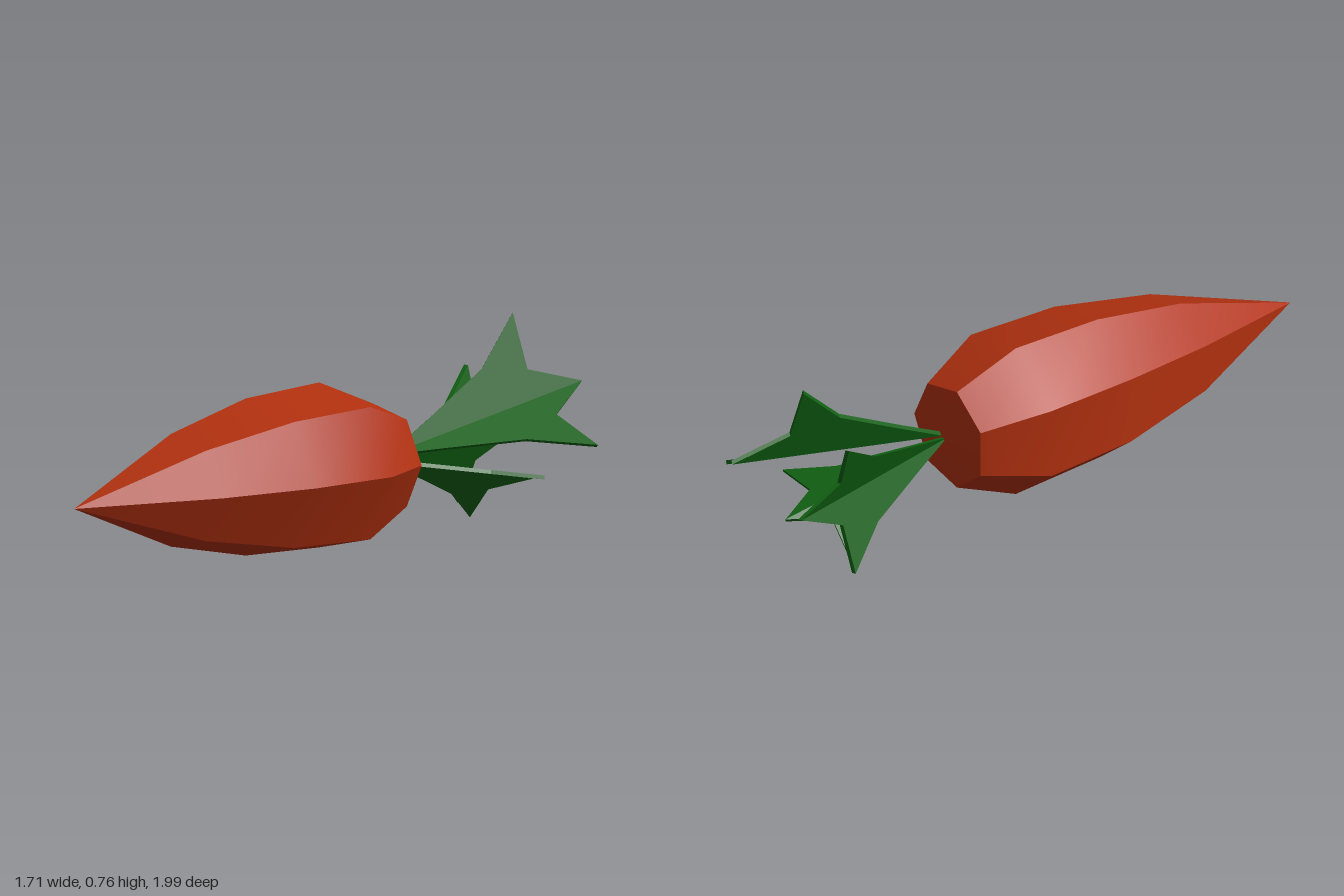
import * as THREE from 'three';
import { toCreasedNormals } from 'three/addons/utils/BufferGeometryUtils.js';

const V = (x, y, z) => new THREE.Vector3(x, y, z);

// Seven-sided root, turned around +y and then laid along its axis
function makeRoot() {
  const profile = [[0, 0], [0.214, 0.547], [0.298, 0.95], [0.313, 1.332], [0.205, 1.587], [0, 1.625]];
  const lathe = new THREE.LatheGeometry(profile.map(([r, s]) => new THREE.Vector2(r, s)), 7);
  const axis = V(0.611, 0, -0.792).normalize();
  const side = V(-axis.z, 0, axis.x);
  const placement = new THREE.Matrix4().makeBasis(V(0, -1, 0), axis, side).setPosition(-0.86, 0.305, 0.99);
  const root = new THREE.Mesh(
    toCreasedNormals(lathe.applyMatrix4(placement), 0.6),
    new THREE.MeshStandardMaterial({ color: 0xb0300f })
  );
  root.name = 'root';
  return root;
}

// Thin three-pointed leaf, folded along the rib from base to tip
function makeLeaf(base, tip, lobeA, lobeB, thickness = 0.016) {
  const rib = tip.clone().sub(base);
  const arms = [lobeA, lobeB].map(p => p.clone().sub(base));
  const normal = arms[0].clone().cross(arms[1]).normalize();

  // Half outline as shares of the rib and of the lobe direction: stalk, shoulder, lobe, notch
  const half = [[0.06, 0.2], [0.14, 0.53], [0, 1], [0.5, 0.34]];
  const edge = arm => half.map(([a, b]) => base.clone().addScaledVector(rib, a).addScaledVector(arm, b));
  const outline = [base, ...edge(arms[0]), tip, ...edge(arms[1]).reverse()];
  const n = outline.length;

  const positions = [];
  for (const sign of [1, -1])
    for (const p of outline)
      positions.push(...p.clone().addScaledVector(normal, sign * thickness / 2).toArray());

  // Faces of both halves, on both sides
  const index = [];
  const halfFaces = [[0, 1, 4], [1, 2, 4], [2, 3, 4], [0, 4, 5]];
  for (const [a, b, c] of halfFaces) {
    const [ma, mb, mc] = [a, b, c].map(i => (n - i) % n);
    index.push(a, b, c, ma, mc, mb);
    index.push(n + a, n + c, n + b, n + ma, n + mb, n + mc);
  }
  // Rim
  for (let i = 0; i < n; i++) {
    const j = (i + 1) % n;
    index.push(n + i, n + j, j, n + i, j, i);
  }

  const geometry = new THREE.BufferGeometry();
  geometry.setAttribute('position', new THREE.Float32BufferAttribute(positions, 3));
  geometry.setIndex(index);
  const flat = geometry.toNonIndexed();
  flat.computeVertexNormals();
  return new THREE.Mesh(flat, new THREE.MeshStandardMaterial({ color: 0x106012, flatShading: true }));
}

export function createModel() {
  const model = new THREE.Group();
  model.name = 'carrot';
  model.add(makeRoot());

  // Leaves: base, tip and the two side lobes
  const leaves = {
    upperLeaf: [V(0.13, 0.315, -0.28), V(0.75, 0.49, -0.975), V(0.51, 0.755, -0.86), V(0.85, 0.305, -0.66)],
    rearLeaf: [V(0.12, 0.305, -0.285), V(0.49, 0.295, -0.993), V(0.31, 0.045, -0.9), V(0.335, 0.555, -0.9)],
    lowerLeaf: [V(0.13, 0.295, -0.28), V(0.595, 0.165, -0.785), V(0.675, 0.21, -0.505), V(0.37, 0.025, -0.74)],
  };
  const foliage = new THREE.Group();
  foliage.name = 'foliage';
  for (const [name, points] of Object.entries(leaves)) {
    const leaf = makeLeaf(...points);
    leaf.name = name;
    foliage.add(leaf);
  }
  model.add(foliage);
  return model;
}
